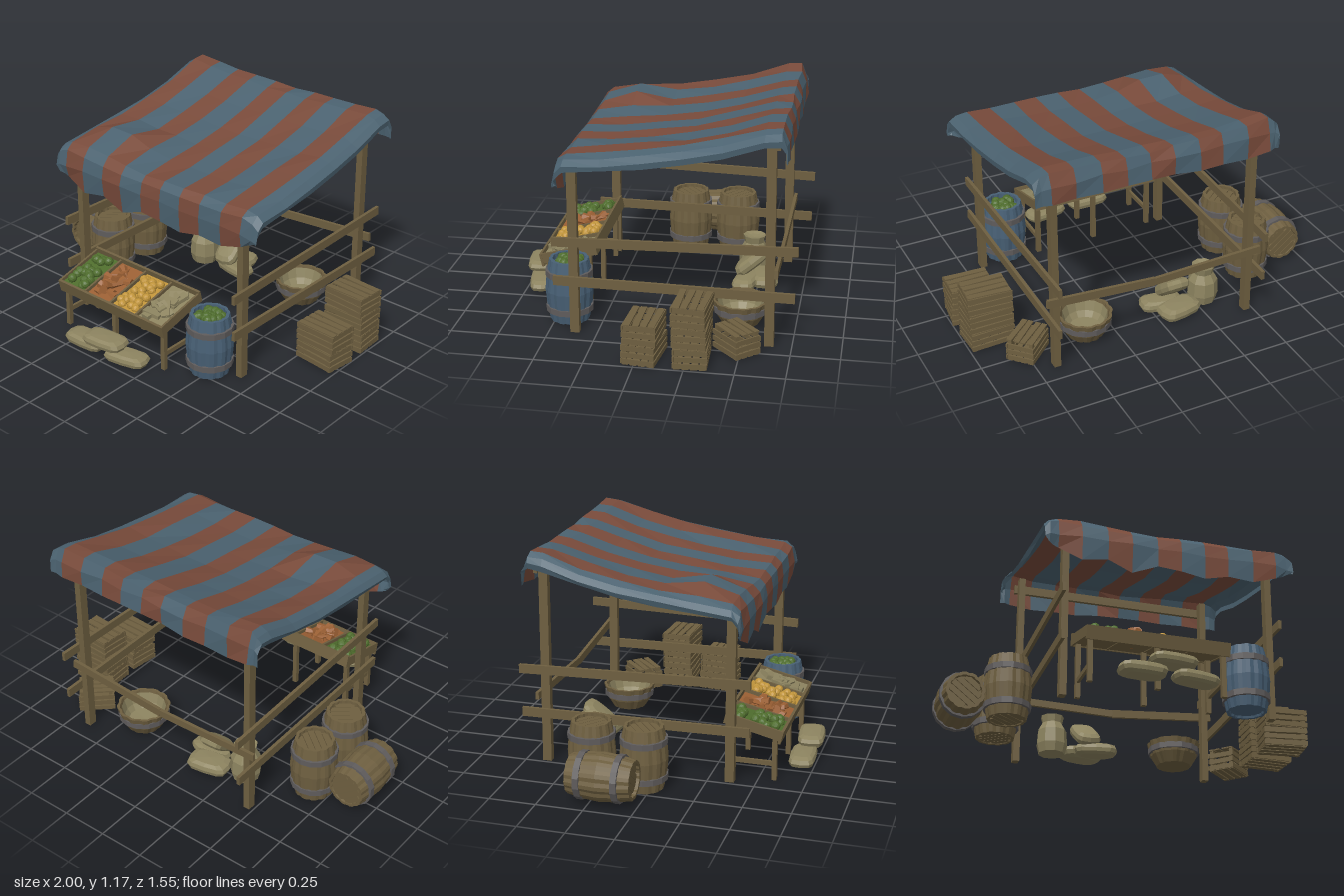
import * as THREE from 'three';

const mat = (name, color, extra = {}) =>
  Object.assign(new THREE.MeshStandardMaterial({ color, flatShading: true, ...extra }), { name });
const M = {
  wood: mat('wood', 0x6e5f40),
  blueCloth: mat('blue cloth', 0x4b6270, { side: THREE.DoubleSide }),
  redCloth: mat('red cloth', 0x794b3b, { side: THREE.DoubleSide }),
  sack: mat('sackcloth', 0x8d8460),
  iron: mat('iron', 0x5f5c5c),
  bluePaint: mat('blue paint', 0x486075),
  green: mat('green produce', 0x4f6d2d),
  orange: mat('orange produce', 0x9b6034),
  yellow: mat('yellow produce', 0xc0943a),
};

let seed = 7;
const rnd = (a, b) => {
  seed = (seed * 16807) % 2147483647;
  return a + (b - a) * (seed / 2147483647);
};

function add(parent, name, geo, material, x = 0, y = 0, z = 0) {
  const m = new THREE.Mesh(geo, material);
  m.name = name;
  m.position.set(x, y, z);
  parent.add(m);
  return m;
}
const box = (p, name, w, h, d, x, y, z, material = M.wood) =>
  add(p, name, new THREE.BoxGeometry(w, h, d), material, x, y, z);
function group(parent, name, x = 0, y = 0, z = 0) {
  const g = new THREE.Group();
  g.name = name;
  g.position.set(x, y, z);
  parent.add(g);
  return g;
}
// Plank running between two points
function beam(p, name, a, b, w, h) {
  const A = new THREE.Vector3(...a), B = new THREE.Vector3(...b);
  const m = box(p, name, w, h, A.distanceTo(B), ...A.clone().add(B).multiplyScalar(0.5).toArray());
  if (Math.abs(B.y - A.y) > A.distanceTo(B) * 0.8) m.up.set(0, 0, 1);
  m.lookAt(B);
}
const lathe = (pts, n) => new THREE.LatheGeometry(pts.map(p => new THREE.Vector2(...p)), n);
// Lathe with narrow grooves between staves
function stavedLathe(pts, staves) {
  const geo = lathe(pts, staves * 3), p = geo.attributes.position;
  for (let i = 0; i < p.count; i++) {
    const s = Math.floor(i / pts.length) % 3 === 0 ? 0.95 : 1;
    p.setXYZ(i, p.getX(i) * s, p.getY(i), p.getZ(i) * s);
  }
  return geo;
}
const hoop = (p, r, y) => add(p, 'hoop',
  lathe([[r - 0.014, y - 0.017], [r, y - 0.016], [r, y + 0.016], [r - 0.014, y + 0.017]], 14), M.iron);

// Striped sheet: columns across x, rows from front hem over the top to back hem
function awning(root) {
  const g = group(root, 'awning');
  const xs = [-0.57, -0.58, -0.555, -0.515, -0.39, -0.25, -0.12, 0.02, 0.15, 0.28, 0.41, 0.55, 0.68, 0.735, 0.772, 0.768];
  const drop = xs.map((_, i) => [0.08, 0.05, 0.02][Math.min(i, 15 - i)] ?? 0);
  const hem = [0.82, 0.81, 0.8, 0.79, 0.735, 0.76, 0.705, 0.76, 0.75, 0.73, 0.76, 0.75, 0.79, 0.81, 0.83, 0.84];
  const rows = [[0.43, 0], [0.44, 0.86], [0.428, 0.95], [0.39, 0.985], [0.2, 1.0], [0, 1.022], [-0.2, 1.052],
    [-0.4, 1.1], [-0.6, 1.16], [-0.68, 1.165], [-0.705, 1.09], [-0.712, 0.99]];
  const last = rows.length - 1;
  const P = rows.map(([z, y], j) => xs.map((x0, i) => {
    // Side edges spread a little toward the front and draw in at the hem
    const x = Math.min(i, 15 - i) > 2 ? x0 : x0 + Math.sign(x0) * (j === 0 ? -0.015 : 0.014 * (z + 0.15));
    if (j === 0) return [x, hem[i], z + rnd(-0.012, 0.008)];
    if (j === last) return [x, y + rnd(-0.015, 0.02), z + rnd(-0.008, 0.01)];
    const flap = j === 1 || j === last - 1;
    const sag = flap ? 0 : 0.028 * Math.sin(Math.PI * (x + 0.58) / 1.36);
    const bump = j > 2 ? 0.07 * Math.exp(-((x + 0.3) ** 2) / 0.03 - (z - 0.22) ** 2 / 0.014) : 0;
    return [x, y - sag + bump - drop[i] * (flap ? 0.4 : 1) + rnd(-0.006, 0.006), z + rnd(-0.006, 0.006)];
  }));
  const pos = { blue: [], red: [] };
  for (let i = 0; i < xs.length - 1; i++) {
    const out = i >= 3 && i <= 11 && i % 2 === 1 ? pos.red : pos.blue;
    for (let j = 0; j < last; j++) {
      const [a, b, c, d] = [P[j][i], P[j][i + 1], P[j + 1][i + 1], P[j + 1][i]];
      out.push(...a, ...b, ...c, ...a, ...c, ...d);
    }
  }
  for (const [key, material] of [['blue', M.blueCloth], ['red', M.redCloth]]) {
    const geo = new THREE.BufferGeometry();
    geo.setAttribute('position', new THREE.Float32BufferAttribute(pos[key], 3));
    geo.computeVertexNormals();
    add(g, key + 'Stripes', geo, material);
  }
}

// Posts and rails
function frame(root) {
  const g = group(root, 'frame');
  for (const x of [-0.465, 0.645]) {
    beam(g, 'frontPost', [x, 0, 0.365], [x, 0.93, 0.37], 0.036, 0.048);
    beam(g, 'backPost', [x, 0, -0.635], [x, 1.12, -0.625], 0.036, 0.048);
    const o = x < 0 ? x - 0.026 : x + 0.026, s = x < 0 ? 1 : -1;
    beam(g, 'upperRail', [o, 0.525 + s * 0.025, 0.475], [o, 0.52 - s * 0.005, -0.77], 0.018, 0.048);
    beam(g, 'lowerRail', [o, 0.29, 0.47], [o, 0.275, -0.76], 0.018, 0.05);
  }
  beam(g, 'backRail', [-0.52, 0.38, -0.665], [0.1, 0.36, -0.66], 0.018, 0.04);
  beam(g, 'backRail', [0.1, 0.36, -0.66], [0.7, 0.408, -0.665], 0.018, 0.045);
  beam(g, 'backBeam', [-0.5, 1.07, -0.66], [0.68, 1.07, -0.66], 0.02, 0.05);
}

function barrel(root, name, x, z, material = M.wood) {
  const g = group(root, name, x, 0, z);
  add(g, 'staves', stavedLathe([[0, 0.015], [0.085, 0.015], [0.088, 0.003], [0.103, 0.003], [0.118, 0.08], [0.126, 0.17],
    [0.118, 0.26], [0.103, 0.34], [0.086, 0.34], [0.085, 0.312], [0, 0.312]], 12), material);
  for (const y of [0.07, 0.265]) hoop(g, 0.125, y);
  if (material === M.wood)
    for (let k = -2; k <= 2; k++)
      for (const y of [0.318, 0.012])
        box(g, 'lidPlank', 0.03, 0.012, 2 * Math.sqrt(0.0068 - (k * 0.033) ** 2), k * 0.033, y, 0);
  return g;
}

function produce(p, name, material, n, w, d, x, y, z, make) {
  for (let i = 0; i < n; i++) {
    const m = add(p, name, make(), material, x + rnd(-w, w), y + rnd(0, 0.014), z + rnd(-d, d));
    m.rotation.set(rnd(-0.3, 0.3), rnd(0, 6.28), rnd(-0.3, 0.3));
  }
}
const ball = r => () => new THREE.IcosahedronGeometry(r, 1);

// Tilted display table with four bins
function table(root) {
  const g = group(root, 'table');
  for (const x of [-0.385, -0.04, 0.305]) {
    box(g, 'frontLeg', 0.025, 0.24, 0.025, x, 0.12, 0.582);
    box(g, 'backLeg', 0.025, 0.3, 0.025, x, 0.15, 0.36);
    if (x !== -0.04) box(g, 'brace', 0.015, 0.025, 0.22, x, 0.09, 0.47);
  }
  const t = group(g, 'tray', -0.04, 0.282, 0.47);
  t.rotation.x = 0.24;
  box(t, 'floor', 0.73, 0.012, 0.29, 0, -0.01, 0);
  box(t, 'frontBoard', 0.745, 0.07, 0.014, 0, 0, 0.15);
  box(t, 'backBoard', 0.745, 0.068, 0.014, 0, 0.012, -0.15);
  for (let k = -2; k <= 2; k++) box(t, 'divider', 0.012, 0.056, 0.29, k * 0.183, 0.008, 0);
  const bins = [[M.green, 22, ball(0.026)],
    [M.orange, 20, () => new THREE.ConeGeometry(0.026, 0.1, 6).rotateZ(1.57)],
    [M.yellow, 26, ball(0.024)],
    [M.sack, 14, () => new THREE.BoxGeometry(0.1, 0.022, 0.045)]];
  bins.forEach(([m, n, make], k) => {
    const x = (k - 1.5) * 0.183;
    box(t, 'binFill', 0.17, 0.02, 0.28, x, 0.008, 0, m);
    produce(t, 'produce', m, n, k % 2 ? 0.036 : 0.06, k % 2 ? 0.09 : 0.112, x, 0.02, 0, make);
  });
}

// Boxy cushion shape for a filled sack
function sack(root, x, y, z, w, h, d, ry, rx = 0) {
  const geo = new THREE.SphereGeometry(1, 12, 6), p = geo.attributes.position;
  const f = (v, e) => Math.sign(v) * Math.abs(v) ** e;
  for (let i = 0; i < p.count; i++)
    p.setXYZ(i, f(p.getX(i), 0.55) * w / 2, f(p.getY(i), 0.8) * h / 2, f(p.getZ(i), 0.55) * d / 2);
  add(root, 'sack', geo, M.sack, x, y, z).rotation.set(rx, ry, 0);
}

// Slatted crate
function crate(root, x, y, z, ry, w = 0.23, h = 0.108, d = 0.17) {
  const g = group(root, 'crate', x, y, z);
  g.rotation.y = ry;
  for (const sx of [-1, 1]) for (const sz of [-1, 1])
    box(g, 'cornerPost', 0.02, h, 0.02, sx * (w / 2 - 0.016), h / 2, sz * (d / 2 - 0.016));
  for (let k = 0; k < 3; k++) {
    const sy = 0.02 + k * 0.035;
    for (const s of [-1, 1]) {
      box(g, 'longSlat', w + 0.01, 0.026, 0.008, 0, sy, s * (d / 2 - 0.003)).rotation.z = rnd(-0.03, 0.03);
      box(g, 'shortSlat', 0.008, 0.026, d, s * (w / 2 - 0.003), sy, 0).rotation.x = rnd(-0.03, 0.03);
    }
  }
  for (let k = 0; k < 4; k++) {
    const sz = (k - 1.5) * d * 0.25;
    box(g, 'topSlat', w, 0.008, d * 0.19, 0, h - 0.004, sz).rotation.y = rnd(-0.05, 0.05);
    box(g, 'bottomSlat', w, 0.008, d * 0.19, 0, 0.006, sz);
  }
}

export function createModel() {
  const root = new THREE.Group();
  root.name = 'marketStall';
  awning(root);
  frame(root);
  table(root);

  // Barrels
  barrel(root, 'backBarrel', -0.65, -0.32).rotation.y = 0.9;
  barrel(root, 'middleBarrel', -0.65, -0.04).rotation.y = -0.9;
  const lying = barrel(root, 'lyingBarrel', -0.872, -0.36);
  lying.position.y = 0.135;
  lying.rotation.set(Math.PI / 2, 0.9, 0);
  const blue = barrel(root, 'blueBarrel', 0.485, 0.43, M.bluePaint);
  produce(blue, 'greens', M.green, 22, 0.055, 0.055, 0, 0.31, 0, ball(0.026));

  // Crate stacks
  [0, 0.11, 0.22].forEach((y, k) => crate(root, 0.875, y, -0.275, 0.04 - k * 0.05));
  [0, 0.11].forEach((y, k) => crate(root, 0.875, y, -0.035, -0.12 + k * 0.06));
  crate(root, 0.735, 0, -0.48, 0.75, 0.19, 0.13, 0.15);

  // Sacks in front of the table
  sack(root, -0.15, 0.045, 0.685, 0.25, 0.07, 0.14, 0.05);
  sack(root, 0.125, 0.04, 0.672, 0.25, 0.065, 0.13, 0.2);
  sack(root, 0, 0.105, 0.7, 0.25, 0.065, 0.145, 0.12);
  // Sacks at the back, one leaning on the pile
  sack(root, -0.12, 0.04, -0.53, 0.24, 0.075, 0.15, 0.2);
  sack(root, -0.06, 0.04, -0.44, 0.24, 0.07, 0.13, -0.2);
  sack(root, -0.115, 0.135, -0.46, 0.145, 0.075, 0.22, 0.1, 0.7);
  add(root, 'standingSack', lathe([[0, 0], [0.072, 0], [0.085, 0.05], [0.08, 0.13], [0.055, 0.175], [0.064, 0.215],
    [0.04, 0.205], [0, 0.2]], 9), M.sack, -0.305, 0, -0.455);

  // Half-barrel basket
  const basket = group(root, 'basket', 0.4, 0, -0.46);
  add(basket, 'bowl', stavedLathe([[0, 0.005], [0.095, 0.005], [0.128, 0.06], [0.147, 0.135], [0.132, 0.135],
    [0.115, 0.06], [0.08, 0.02], [0, 0.02]], 12), M.wood);
  add(basket, 'lining', lathe([[0, 0.035], [0.085, 0.04], [0.106, 0.07], [0.122, 0.125]].reverse(), 14), M.sack);
  hoop(basket, 0.142, 0.09);
  return root;
}
